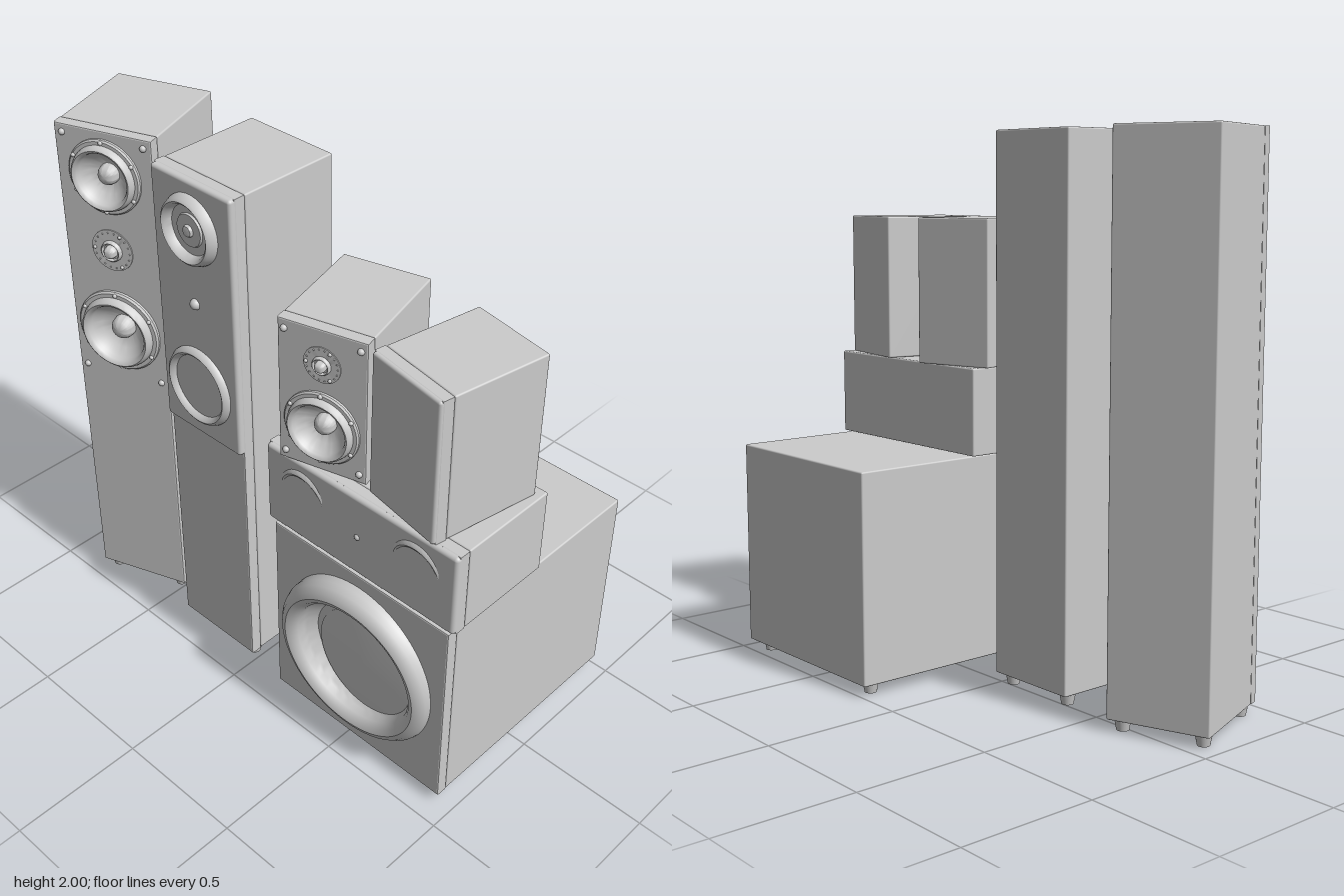
import * as THREE from 'three';
import { toCreasedNormals } from 'three/addons/utils/BufferGeometryUtils.js';
import { RoundedBoxGeometry } from 'three/addons/geometries/RoundedBoxGeometry.js';

const grey = new THREE.MeshStandardMaterial({ color: 0xcccccc });
const BAFFLE = 0.045;

function add(parent, name, geometry, x = 0, y = 0, z = 0) {
  const mesh = new THREE.Mesh(geometry, grey);
  mesh.name = name;
  mesh.position.set(x, y, z);
  parent.add(mesh);
  return mesh;
}

function group(parent, name, x, y, z, turn = 0) {
  const g = new THREE.Group();
  g.name = name;
  g.position.set(x, y, z);
  g.rotation.y = THREE.MathUtils.degToRad(turn);
  parent.add(g);
  return g;
}

// Revolved profile facing +z; points run from the outer rim to the centre
function disc(points, scale = 1, segments = 56) {
  const profile = points.map(([r, h]) => new THREE.Vector2(r * scale, h * scale));
  const lathe = new THREE.LatheGeometry(profile, segments).rotateX(Math.PI / 2);
  return toCreasedNormals(lathe, 0.7);
}

// Cabinet standing on local y = 0, with round driver openings in the baffle
function cabinet(parent, w, h, d, holes = []) {
  add(parent, 'cabinet', new RoundedBoxGeometry(w, h, d - BAFFLE, 2, 0.006), 0, h / 2, -BAFFLE / 2);
  const b = 0.005, x = w / 2 - b;
  const shape = new THREE.Shape();
  shape.moveTo(-x, b).lineTo(x, b).lineTo(x, h - b).lineTo(-x, h - b).closePath();
  for (const [y, r] of holes) {
    shape.holes.push(new THREE.Path().absarc(0, y, r, 0, Math.PI * 2, true));
  }
  const front = new THREE.ExtrudeGeometry(shape, {
    depth: BAFFLE - 2 * b, bevelEnabled: true, bevelSize: b, bevelThickness: b, bevelSegments: 2, curveSegments: 32,
  });
  add(parent, 'baffle', front, 0, 0, d / 2 - BAFFLE + b);
}

function feet(parent, dx, zs) {
  for (const x of [-dx, dx]) for (const z of zs) {
    add(parent, 'foot', new THREE.CylinderGeometry(0.031, 0.022, 0.046, 20), x, 0.023, z);
  }
}

// Flange, surround roll, cone and dust cap, with a ring of screws
function woofer(parent, y, z, R) {
  const g = group(parent, 'woofer', 0, y, z);
  add(g, 'cone', disc([
    [1, -0.02], [1, 0.06], [0.96, 0.1], [0.87, 0.1], [0.86, 0.17], [0.83, 0.25], [0.79, 0.28],
    [0.74, 0.26], [0.7, 0.2], [0.67, 0.1], [0.5, -0.06], [0.3, -0.21],
    [0.27, -0.21], [0.26, -0.08], [0.21, 0.02], [0.12, 0.08], [0, 0.1],
  ], R));
  for (let i = 0; i < 6; i++) {
    const a = Math.PI / 2 + i * Math.PI / 3;
    add(g, 'screw', new THREE.SphereGeometry(0.008, 10, 8), Math.cos(a) * R * 0.93, Math.sin(a) * R * 0.93, 0.1 * R);
  }
}

// Flat plate with a small horn, dome and perforation dots
function tweeter(parent, y, z, R) {
  const g = group(parent, 'tweeter', 0, y, z);
  add(g, 'tweeterPlate', disc([
    [1, -0.02], [1, 0.05], [0.5, 0.05], [0.47, 0.2], [0.42, 0.24], [0.36, 0.12],
    [0.3, 0.1], [0.28, 0.3], [0.2, 0.42], [0.1, 0.48], [0, 0.5],
  ], R, 40));
  for (let i = 0; i < 18; i++) {
    const a = i * Math.PI / 9, r = R * 0.86, s = i % 6 === 3 ? 0.007 : 0.003;
    add(g, 'plateDot', new THREE.SphereGeometry(s, 8, 6), Math.cos(a) * r, Math.sin(a) * r, R * 0.05);
  }
}

function grillePegs(parent, dx, ys, z) {
  for (const x of [-dx, dx]) for (const y of ys) {
    add(parent, 'grillePeg', new THREE.SphereGeometry(0.012, 12, 8), x, y, z);
  }
}

// Raised ring showing through a grille
function grilleRing(parent, x, y, z, outer, inner, height) {
  const mid = (outer + inner) / 2, q = (outer - inner) / 4;
  return add(parent, 'grilleRing', disc([
    [outer, -0.01], [outer, 0.004], [mid + q, height * 0.8], [mid, height], [mid - q, height * 0.8],
    [inner, 0.004], [0, 0.004],
  ]), x, y, z);
}

export function createModel() {
  const model = new THREE.Group();
  model.name = 'speakerSet';

  // Open tower
  const open = group(model, 'openTower', -0.722, 0, 0.19, 20);
  const openBody = group(open, 'towerBody', 0, 0.042, 0);
  cabinet(openBody, 0.37, 1.958, 0.425, [[1.793, 0.125], [1.178, 0.145]]);
  woofer(open, 1.835, 0.2125, 0.138);
  woofer(open, 1.22, 0.2125, 0.162);
  tweeter(open, 1.55, 0.2125, 0.08);
  grillePegs(open, 0.155, [1.03, 1.97], 0.214);
  feet(open, 0.145, [-0.164, 0.164]);

  // Tower with its grille fitted
  const covered = group(model, 'coveredTower', -0.187, 0, 0.185);
  const coveredBody = group(covered, 'towerBody', 0, 0.042, 0);
  cabinet(coveredBody, 0.374, 1.958, 0.43);
  add(covered, 'grille', new RoundedBoxGeometry(0.372, 0.988, 0.04, 3, 0.012), 0, 1.505, 0.215);
  grilleRing(covered, 0, 1.83, 0.235, 0.125, 0.088, 0.035);
  add(covered, 'grilleCap', disc([[0.06, 0], [0.056, 0.008], [0.022, 0.008], [0.018, 0.018], [0, 0.022]]), 0, 1.83, 0.238);
  grilleRing(covered, 0, 1.22, 0.235, 0.15, 0.118, 0.024);
  add(covered, 'tweeterDome', new THREE.SphereGeometry(0.02, 20, 12), 0, 1.55, 0.235);
  feet(covered, 0.145, [-0.164, 0.164]);

  // Subwoofer
  const sub = group(model, 'subwoofer', 0.556, 0, -0.04);
  const subBody = group(sub, 'subwooferBody', 0, 0.042, 0);
  cabinet(subBody, 0.78, 0.778, 0.92, [[0.398, 0.27]]);
  const ring = add(sub, 'subwooferSurround', disc([
    [0.33, -0.03], [0.33, 0.01], [0.322, 0.034], [0.305, 0.054], [0.284, 0.062], [0.264, 0.054],
    [0.248, 0.034], [0.242, 0.01], [0.235, 0], [0.21, -0.03], [0, -0.03],
  ], 1, 72), 0.007, 0.44, 0.46);
  ring.rotation.set(0.05, 0.05, 0);
  add(sub, 'subwooferCone', disc([[0.21, -0.03], [0.21, 0.002], [0.15, 0.006], [0, 0.01]], 1, 64), 0.024, 0.422, 0.443);
  feet(sub, 0.335, [-0.395, 0.395]);

  // Centre speaker lying on the subwoofer
  const centre = group(model, 'centreSpeaker', 0.547, 0.825, 0.19);
  cabinet(centre, 0.83, 0.325, 0.43);
  add(centre, 'grille', new RoundedBoxGeometry(0.83, 0.322, 0.04, 4, 0.014), 0, 0.1625, 0.21);
  for (const x of [-0.25, 0.25]) {
    const r = grilleRing(centre, x, 0.18, 0.212, 0.11, 0.08, 0.016);
    r.rotation.x = 0.12;
  }
  add(centre, 'tweeterDome', new THREE.SphereGeometry(0.012, 14, 10), 0, 0.16, 0.226);

  // Open bookshelf speaker
  const shelf = group(model, 'openBookshelfSpeaker', 0.312, 1.15, 0.187, 15);
  cabinet(shelf, 0.318, 0.543, 0.43, [[0.175, 0.12]]);
  woofer(shelf, 0.175, 0.215, 0.136);
  tweeter(shelf, 0.415, 0.215, 0.066);
  grillePegs(shelf, 0.135, [0.035, 0.51], 0.217);

  // Bookshelf speaker with a plain grille
  const plain = group(model, 'coveredBookshelfSpeaker', 0.745, 1.15, 0.187, -10);
  cabinet(plain, 0.322, 0.543, 0.41);
  add(plain, 'grille', new RoundedBoxGeometry(0.32, 0.541, 0.03, 3, 0.01), 0, 0.2715, 0.2);

  return model;
}
